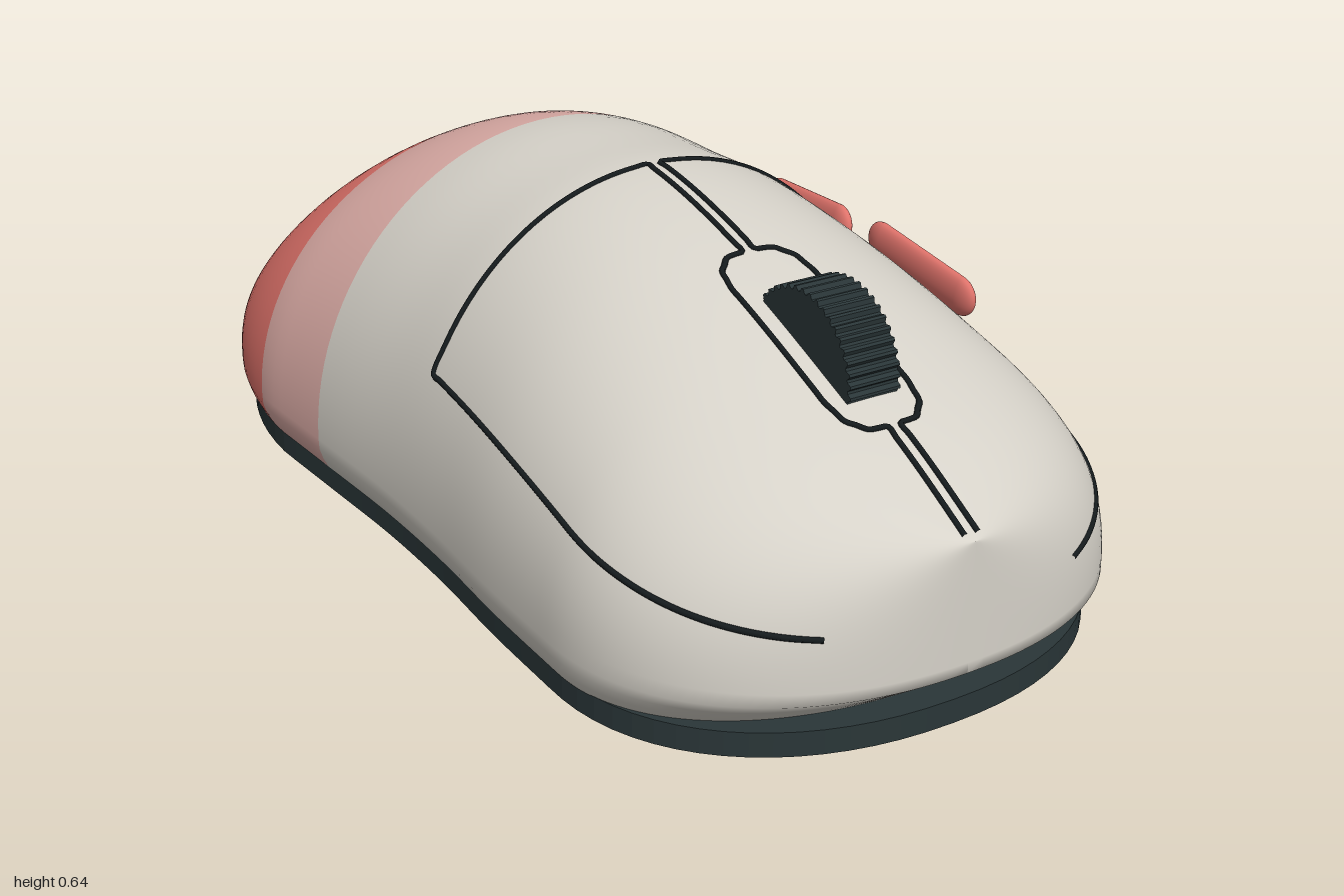
import * as THREE from 'three';

const paint = (name, color) => {
  const m = new THREE.MeshStandardMaterial({ color });
  m.name = name;
  return m;
};

// Smooth interpolation through [position, value] pairs
function curve(table) {
  const slope = i => {
    const a = table[Math.max(i - 1, 0)], b = table[Math.min(i + 1, table.length - 1)];
    return (b[1] - a[1]) / (b[0] - a[0]);
  };
  return z => {
    let i = 0;
    while (i < table.length - 2 && z > table[i + 1][0]) i++;
    const [z0, v0] = table[i], [z1, v1] = table[i + 1];
    const d = z1 - z0, t = (z - z0) / d, t2 = t * t, t3 = t2 * t;
    return (2 * t3 - 3 * t2 + 1) * v0 + (t3 - 2 * t2 + t) * d * slope(i)
      + (3 * t2 - 2 * t3) * v1 + (t3 - t2) * d * slope(i + 1);
  };
}

// Shell rules: crown height, half width and roundness along z
const WAIST = 0.1, RIM = 0.04;
const crown = curve([[-1, 0.1], [-0.9, 0.205], [-0.8, 0.315], [-0.6, 0.475], [-0.4, 0.575], [-0.2, 0.625],
  [0, 0.634], [0.13, 0.635], [0.3, 0.604], [0.5, 0.543], [0.7, 0.465], [0.85, 0.4], [1, 0.32]]);
const waist = curve([[-0.4, 0.5], [-0.2, 0.487], [0, 0.475], [0.2, 0.474], [0.4, 0.483], [0.6, 0.485]]);
const power = z => 2 + 0.3 * THREE.MathUtils.smoothstep(z, -0.2, 0.9);
const round = (u, p) => Math.pow(Math.max(0, 1 - Math.pow(Math.min(1, Math.abs(u)), p)), 1 / p);
function halfWidth(z) {
  if (z < -0.4) return 0.5 * round((z + 0.4) / 0.6, 2);
  if (z > 0.6) return 0.485 * round((z - 0.6) / 0.4, 2.2);
  return waist(z);
}
const onTop = (x, z) => new THREE.Vector3(x,
  WAIST + (crown(z) - WAIST) * round(x / Math.max(halfWidth(z), 1e-4), power(z)), z);
const onSide = (y, z) => new THREE.Vector3(
  halfWidth(z) * round((y - WAIST) / (crown(z) - WAIST), power(z)), y, z);

// One closed cross-section, counter-clockwise seen from the front
function section(z) {
  const w = halfWidth(z), h = crown(z) - WAIST, e = 2 / power(z), N = 56;
  const low = [[0, RIM], [0.955, RIM], [0.965, RIM], [0.985, 0.06], [0.998, 0.08]];
  const pts = low.map(([k, y]) => [k * w, y]);
  for (let j = 0; j <= N; j++) {
    const a = Math.PI * j / N, c = Math.cos(a);
    pts.push([w * Math.sign(c) * Math.abs(c) ** e, WAIST + h * Math.max(0, Math.sin(a)) ** e]);
  }
  for (const [k, y] of low.reverse()) pts.push([-k * w, y]);
  return pts.map(([x, y]) => {
    const tuck = y < WAIST && z > 0.6 ? 0.08 * (WAIST - y) / (WAIST - RIM) * (z - 0.6) / 0.4 : 0;
    return [x, y, z - tuck];
  });
}

function shellGeometry() {
  const zs = [], bands = [];
  const span = (from, to, n, ease) => {
    bands.push(n);
    for (let i = 0; i < n; i++) zs.push(from + (to - from) * ease(i / n));
  };
  span(-1, -0.45, 26, t => t * t);
  span(-0.45, -0.22, 8, t => t);
  span(-0.22, 1, 56, t => 1 - (1 - t) ** 2);
  zs.push(1);
  const rings = zs.map(section), m = rings[0].length, index = [];
  for (let i = 0; i < rings.length - 1; i++) {
    for (let j = 0; j < m - 1; j++) {
      const a = i * m + j, b = a + 1, c = a + m, d = c + 1;
      index.push(a, b, c, b, d, c);
    }
  }
  const g = new THREE.BufferGeometry();
  g.setAttribute('position', new THREE.Float32BufferAttribute(rings.flat(2), 3));
  g.setIndex(index);
  let start = 0;
  bands.forEach((n, k) => {
    const count = n * (m - 1) * 6;
    g.addGroup(start, count, k);
    start += count;
  });
  g.computeVertexNormals();
  return g;
}

// Outline of one main button, following the shell surface
function seamGeometry(side) {
  const plan = [[0.012, 0.988], [0.012, 0.8], [0.045, 0.795], [0.07, 0.77], [0.078, 0.73],
    [0.078, 0.48], [0.07, 0.44], [0.045, 0.415], [0.012, 0.41], [0.012, 0.125]];
  const corner = onSide(0.345, 0.125);
  plan.push([corner.x, 0.125]);
  const pts = [];
  for (let i = 0; i < plan.length - 1; i++) {
    const [x0, z0] = plan[i], [x1, z1] = plan[i + 1];
    const n = Math.ceil(Math.hypot(x1 - x0, z1 - z0) / 0.025);
    for (let k = 0; k < n; k++) pts.push(onTop(x0 + (x1 - x0) * k / n, z0 + (z1 - z0) * k / n));
  }
  const drop = curve([[0.125, 0.345], [0.4, 0.318], [0.7, 0.262], [0.955, 0.205]]);
  for (let k = 0; k <= 36; k++) {
    const z = 0.125 + 0.83 * k / 36;
    pts.push(onSide(drop(z), z));
  }
  pts.forEach(p => { p.x *= side; });
  const path = new THREE.CatmullRomCurve3(pts);
  path.arcLengthDivisions = 1200;
  return new THREE.TubeGeometry(path, 420, 0.005, 6);
}

// Flat sole following the plan outline
function soleGeometry() {
  const right = [];
  for (let i = 0; i <= 60; i++) {
    const z = -Math.cos(Math.PI * i / 60);
    right.push(new THREE.Vector2(halfWidth(z) * 0.965, -z * 0.975));
  }
  const left = right.slice(1, -1).reverse().map(p => new THREE.Vector2(-p.x, p.y));
  const g = new THREE.ExtrudeGeometry(new THREE.Shape([...right, ...left]), { depth: 0.042, bevelEnabled: false });
  return g.rotateX(-Math.PI / 2);
}

// Ribbed scroll wheel
function wheelGeometry() {
  const rim = [], teeth = 44, width = 0.094;
  for (let i = 0; i < teeth * 4; i++) {
    const a = i / (teeth * 4) * Math.PI * 2, r = i % 4 < 2 ? 0.132 : 0.125;
    rim.push(new THREE.Vector2(Math.cos(a) * r, Math.sin(a) * r));
  }
  const g = new THREE.ExtrudeGeometry(new THREE.Shape(rim), { depth: width, bevelEnabled: false });
  return g.translate(0, 0, -width / 2).rotateY(Math.PI / 2);
}

export function createModel() {
  const coral = paint('coral', 0xe0736b);
  const pink = paint('pale pink', 0xdcaca6);
  const ivory = paint('warm grey', 0xd6d2c9);
  const dark = paint('dark slate', 0x2a3638);
  const black = paint('seam black', 0x151b1d);

  const model = new THREE.Group();
  model.name = 'computerMouse';
  const add = (parent, name, geometry, material) => {
    const mesh = new THREE.Mesh(geometry, material);
    mesh.name = name;
    parent.add(mesh);
    return mesh;
  };

  const body = new THREE.Group();
  body.name = 'body';
  body.position.x = -0.008;
  model.add(body);
  add(body, 'shell', shellGeometry(), [coral, pink, ivory]);
  add(body, 'sole', soleGeometry(), dark);
  add(body, 'leftButtonSeam', seamGeometry(1), black);
  add(body, 'rightButtonSeam', seamGeometry(-1), black);
  add(body, 'scrollWheel', wheelGeometry(), dark).position.set(0, 0.458, 0.62);

  // Thumb buttons, standing just off the left flank
  const thumbs = {
    forwardThumbButton: [[0.491, 0.366, 0.345], [0.478, 0.402, 0.14]],
    backThumbButton: [[0.474, 0.396, 0.01], [0.489, 0.381, -0.2]],
  };
  for (const [name, ends] of Object.entries(thumbs)) {
    const [a, b] = ends.map(p => new THREE.Vector3(...p));
    const g = new THREE.CapsuleGeometry(0.038, a.distanceTo(b), 10, 24).scale(0.42, 1, 1);
    const button = add(model, name, g, coral);
    button.position.copy(a).add(b).multiplyScalar(0.5);
    button.quaternion.setFromUnitVectors(new THREE.Vector3(0, 1, 0), b.sub(a).normalize());
  }
  return model;
}
